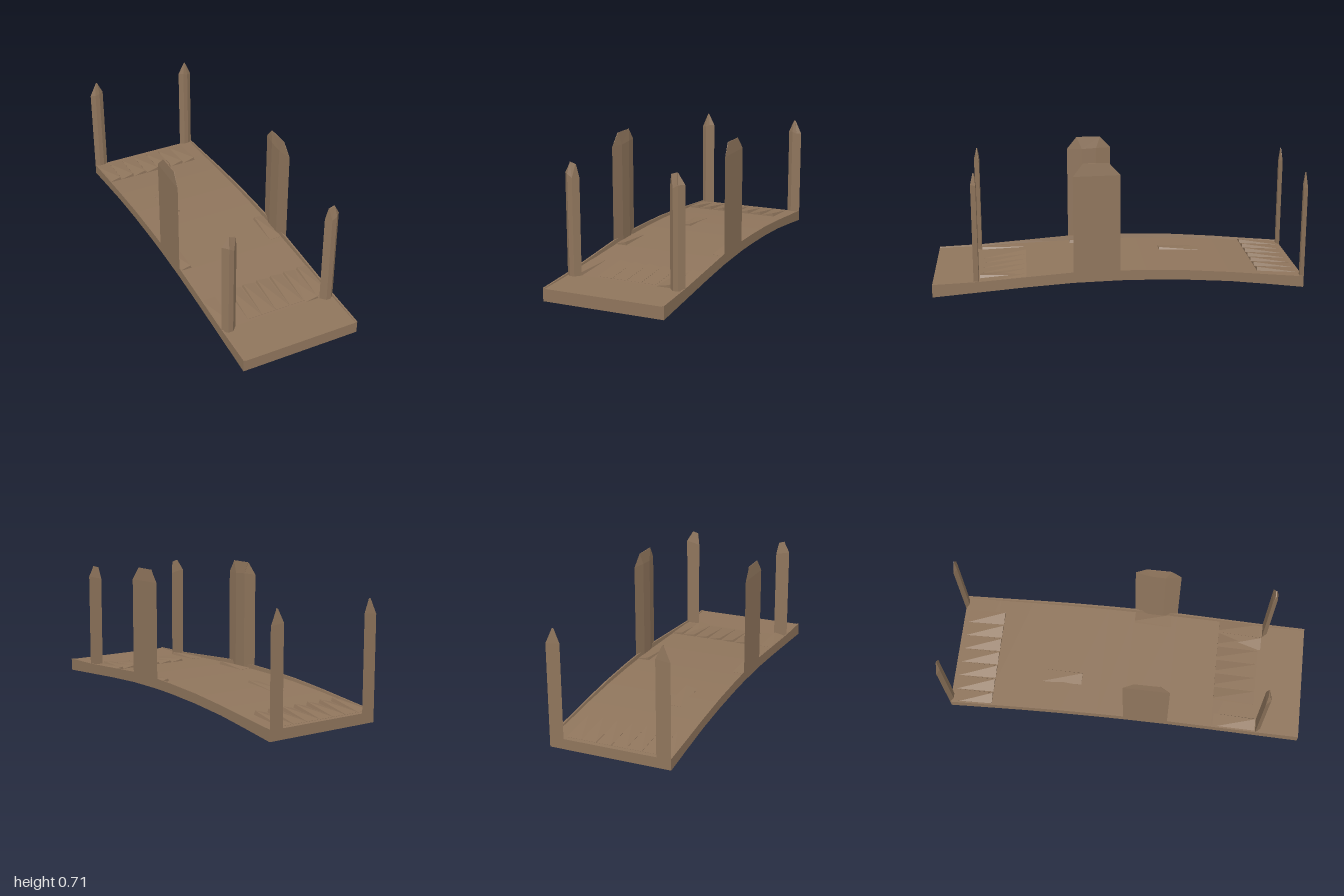
import * as THREE from 'three';

const wood = new THREE.MeshStandardMaterial({ color: 0x8f755c });
wood.name = 'wood';

// Closed flat-shaded solid through convex rings of [x, y, z] points
function loft(name, rings) {
  const n = rings[0].length, tris = [];
  for (let i = 0; i < rings.length - 1; i++) {
    for (let j = 0; j < n; j++) {
      const k = (j + 1) % n, a = rings[i], b = rings[i + 1];
      tris.push([a[j], a[k], b[k]], [a[j], b[k], b[j]]);
    }
  }
  const first = rings[0], last = rings[rings.length - 1];
  for (let j = 1; j < n - 1; j++) {
    tris.push([first[0], first[j + 1], first[j]], [last[0], last[j], last[j + 1]]);
  }
  // turn the faces outward whatever the ring direction
  const o = new THREE.Vector3(...first[0]);
  let volume = 0;
  for (const t of tris) {
    const [a, b, c] = t.map((p) => new THREE.Vector3(...p).sub(o));
    volume += a.dot(b.cross(c));
  }
  if (volume < 0) tris.forEach((t) => t.reverse());
  const geo = new THREE.BufferGeometry();
  geo.setAttribute('position', new THREE.Float32BufferAttribute(tris.flat(2), 3));
  geo.computeVertexNormals();
  const mesh = new THREE.Mesh(geo, wood);
  mesh.name = name;
  return mesh;
}

// Deck stations along the length: z, underside, floor, rail top
const stations = [
  [1, 0.003, 0.069, 0.073], [0.75, 0.024, 0.074, 0.083], [0.5, 0.045, 0.086, 0.102],
  [0.25, 0.062, 0.097, 0.121], [0, 0.069, 0.102, 0.125], [-0.15, 0.068, 0.102, 0.123],
  [-0.37, 0.061, 0.097, 0.115], [-0.6, 0.046, 0.084, 0.098], [-0.8, 0.024, 0.068, 0.079],
  [-1, 0, 0.056, 0.061],
];
const HALF = 0.331;

function floorAt(z) {
  for (let i = 0; i < stations.length - 1; i++) {
    const a = stations[i], b = stations[i + 1];
    if (z <= a[0] && z >= b[0]) return a[2] + (b[2] - a[2]) * (a[0] - z) / (a[0] - b[0]);
  }
  return 0.07;
}

// Upright with a flat back, bevelled front edges and a hipped top.
// place maps (across, y, depth) to a point; s = shoulder heights, t = ridge ends
function upright(name, base, width, depth, s, t, ridge, place) {
  const plan = [[0, 0], [width, 0], [width * 0.66, depth], [width * 0.33, depth]];
  const shoulders = [s[0], s[1], s[1], s[0]];
  const top = [[t[0], 0.3], [t[1], 0.3], [t[1], 0.5], [t[0], 0.5]];
  return loft(name, [
    plan.map(([u, d]) => place(u, base, d)),
    plan.map(([u, d], i) => place(u, shoulders[i], d)),
    top.map(([u, d], i) => place(u, ridge[i === 0 || i === 3 ? 0 : 1], d * depth)),
  ]);
}

// Warped plank: one corner lifted at (xUp, zUp), lying flat at the far end
function plank(name, xFlat, xUp, zUp, zFlat, lift) {
  const y1 = floorAt(zUp), y2 = floorAt(zFlat) + 0.001;
  const lean = xUp + (xFlat - xUp) * 0.14;
  return loft(name, [
    [[xFlat, y1 - 0.01, zUp], [xUp, y1 - 0.01, zUp], [lean, y1 + lift, zUp], [xFlat, y1 + 0.001, zUp]],
    [[xFlat, y2 - 0.01, zFlat], [xUp, y2 - 0.01, zFlat], [xUp, y2, zFlat], [xFlat, y2, zFlat]],
  ]);
}

export function createModel() {
  const model = new THREE.Group();
  model.name = 'archedFootbridge';

  // Arched deck
  model.add(loft('deck', stations.map(([z, low, floor]) => [
    [-HALF, low, z], [HALF, low, z], [HALF, floor, z], [-HALF, floor, z],
  ])));

  for (const side of [-1, 1]) {
    const label = side > 0 ? 'left' : 'right';

    // Low rail along the edge
    model.add(loft(label + 'Rail', stations.map(([z, , floor, rail]) => [
      [side * HALF, floor - 0.01, z], [side * HALF, rail, z],
      [side * 0.322, rail, z], [side * 0.317, floor - 0.01, z],
    ])));

    // Slim posts at the front and back
    model.add(upright(label + 'FrontPost', 0.05, 0.081, 0.028, [0.608, 0.59], [0.035, 0.068],
      [0.668, 0.658], (u, y, d) => [side * (HALF - u), y, 0.754 + d]));
    model.add(upright(label + 'BackPost', 0.01, 0.078, 0.015, [0.555, 0.565], [0.037, 0.045],
      [0.637, 0.634], (u, y, d) => [side * (HALF - u), y, -1 + d]));

    // Broad middle panel
    model.add(upright(label + 'Panel', 0.075, 0.25, 0.016, [0.65, 0.645], [0.06, 0.195],
      [0.715, 0.715], (u, y, d) => [side * (HALF - d), y, u]));
  }

  // Rows of warped planks near both ends
  for (let i = 0; i < 7; i++) {
    const x = -0.25 + i * 0.083;
    model.add(plank('backPlank', x - 0.08, x, -0.76, -0.975, 0.02));
  }
  for (let i = 0; i < 6; i++) {
    const x = -0.167 + i * 0.083;
    model.add(plank('frontPlank', x + 0.08, x, 0.5, 0.735, 0.013));
  }

  // Single lifted planks
  model.add(plank('middlePlank', -0.16, -0.085, -0.26, -0.49, 0.012));
  model.add(plank('rightPanelPlank', -0.325, -0.252, 0.245, 0.03, 0.018));
  model.add(plank('leftPanelPlank', 0.325, 0.248, 0.005, 0.215, 0.015));
  model.add(plank('rightPostPlank', -0.325, -0.245, 0.75, 0.51, 0.015));
  model.add(plank('leftPostPlank', 0.17, 0.252, 0.75, 0.51, 0.015));

  return model;
}
